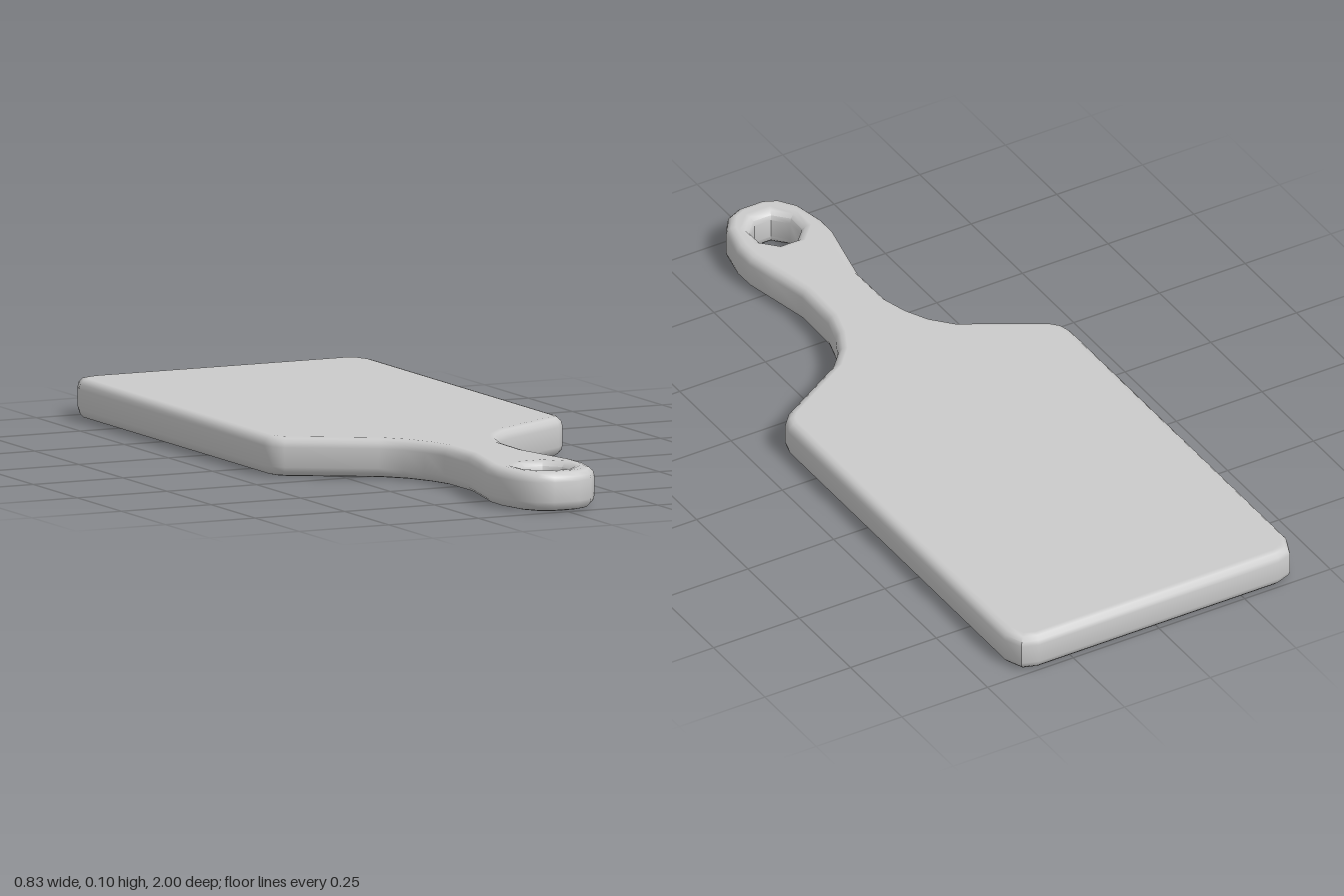
import * as THREE from 'three';
import { toCreasedNormals } from 'three/addons/utils/BufferGeometryUtils.js';

const BASE = 0.004, TOP = 0.104, BEVEL = 0.025;

// Half outline as [x, z], from the back edge to the handle tip
const HALF = [
  [0.35, -1], [0.392, -0.985], [0.413, -0.935],
  [0.413, 0.115], [0.405, 0.145], [0.383, 0.17],
  [0.18, 0.29], [0.135, 0.34], [0.105, 0.4], [0.085, 0.47],
  [0.083, 0.6], [0.106, 0.71], [0.123, 0.79], [0.124, 0.85],
  [0.108, 0.93], [0.075, 0.978], [0.035, 0.997],
];

function boardShape() {
  const right = HALF.map(([x, z]) => new THREE.Vector2(x, -z));
  const left = HALF.map(([x, z]) => new THREE.Vector2(-x, -z)).reverse();
  const shape = new THREE.Shape([...right, ...left]);

  // Hanging hole near the handle tip
  const hole = [];
  for (let i = 0; i < 8; i++) {
    const a = (i + 0.5) * Math.PI / 4;
    hole.push(new THREE.Vector2(0.063 * Math.cos(a), -0.868 + 0.067 * Math.sin(a)));
  }
  shape.holes.push(new THREE.Path(hole));
  return shape;
}

function boardGeometry() {
  const extruded = new THREE.ExtrudeGeometry(boardShape(), {
    depth: TOP - BASE - 2 * BEVEL,
    bevelThickness: BEVEL,
    bevelSize: BEVEL,
    bevelOffset: -BEVEL,
    bevelSegments: 3,
  });
  extruded.rotateX(-Math.PI / 2);
  extruded.translate(0, BASE + BEVEL, 0);

  // Rounded rim runs smoothly into perfectly flat faces
  const geometry = toCreasedNormals(extruded, 0.8);
  const { position, normal } = geometry.attributes;
  for (let i = 0; i < position.count; i++) {
    const y = position.getY(i);
    if (y > TOP - 1e-4) normal.setXYZ(i, 0, 1, 0);
    else if (y < BASE + 1e-4) normal.setXYZ(i, 0, -1, 0);
  }
  return geometry;
}

export function createModel() {
  const group = new THREE.Group();
  group.name = 'paddleBoard';
  const board = new THREE.Mesh(
    boardGeometry(),
    new THREE.MeshStandardMaterial({ color: 0xcccccc })
  );
  board.name = 'boardWithHandle';
  group.add(board);
  return group;
}
